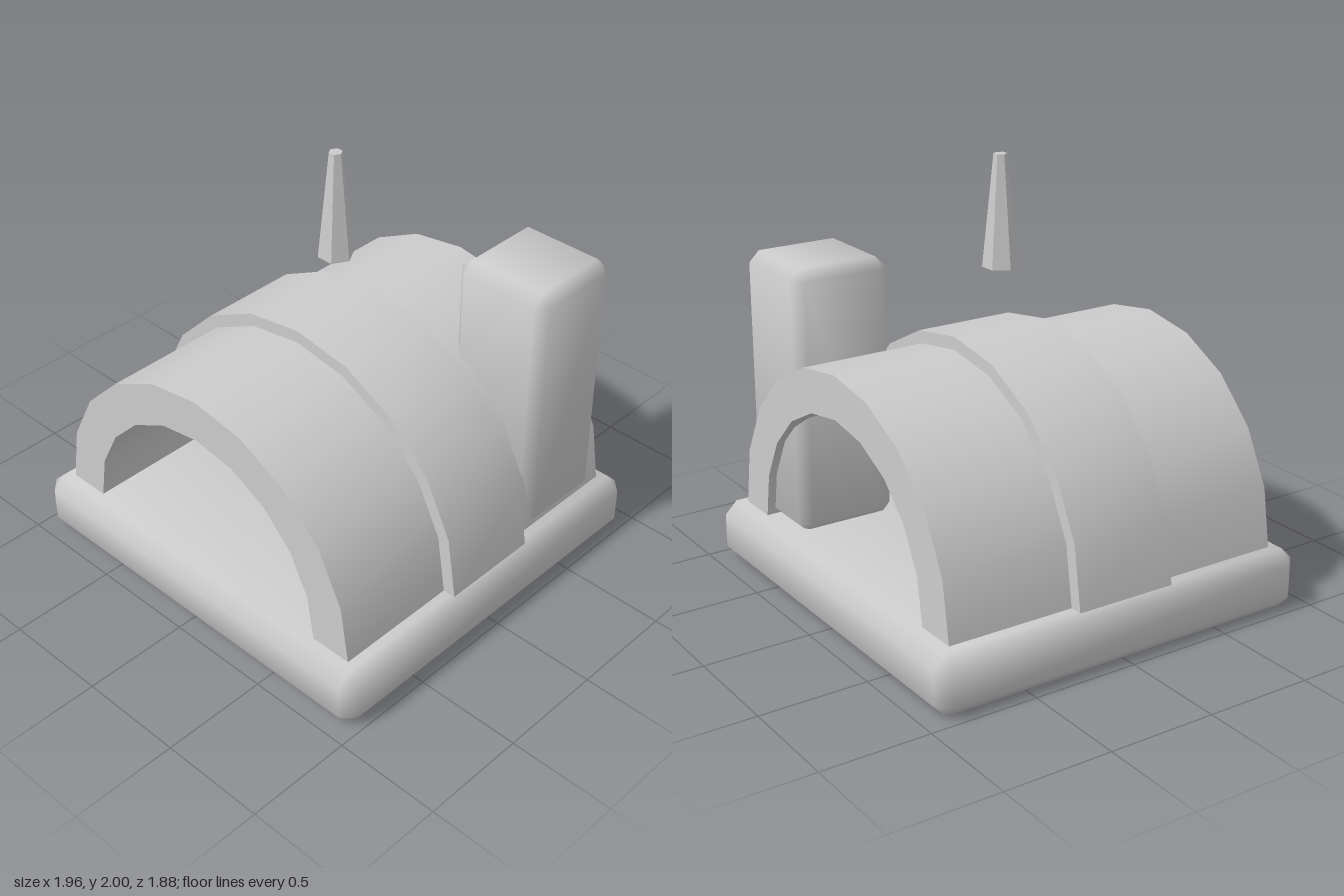
import * as THREE from 'three';
import { mergeVertices, toCreasedNormals } from 'three/addons/utils/BufferGeometryUtils.js';
import { ConvexGeometry } from 'three/addons/geometries/ConvexGeometry.js';

const clay = new THREE.MeshStandardMaterial({ color: 0xcccccc });
clay.name = 'clay grey';

const FLOOR = 0.28; // top of the base slab

function addPart(group, name, geometry, x = 0, y = 0, z = 0) {
  const mesh = new THREE.Mesh(geometry, clay);
  mesh.name = name;
  mesh.position.set(x, y, z);
  group.add(mesh);
}

// Box with a single chamfer on every edge and soft, slightly bulging normals
function softBox(w, h, d, bevel) {
  const half = [w / 2, h / 2, d / 2];
  const points = [];
  for (const sx of [-1, 1]) for (const sy of [-1, 1]) for (const sz of [-1, 1]) {
    for (let axis = 0; axis < 3; axis++) {
      const p = half.map((s, i) => (i === axis ? s : s - bevel));
      points.push(new THREE.Vector3(sx * p[0], sy * p[1], sz * p[2]));
    }
  }
  let geometry = new ConvexGeometry(points);
  geometry.deleteAttribute('normal');
  geometry = mergeVertices(geometry);
  geometry.computeVertexNormals();
  const pos = geometry.attributes.position;
  const v = new THREE.Vector3();
  for (let i = 0; i < pos.count; i++) {
    v.fromBufferAttribute(pos, i);
    const n = v.toArray().map((c, k) => Math.sign(c) * (Math.abs(c) > half[k] - bevel / 2 ? 1 : 0.35));
    v.fromArray(n).normalize();
    geometry.attributes.normal.setXYZ(i, v.x, v.y, v.z);
  }
  return geometry;
}

// Half ring of ten straight segments, extruded along z
function archGeometry(outer, inner, depth) {
  const steps = 10;
  const points = [];
  const arc = (radius, i) => {
    const a = (i / steps) * Math.PI;
    points.push(new THREE.Vector2(radius * Math.cos(a), radius * Math.sin(a)));
  };
  for (let i = 0; i <= steps; i++) arc(outer, i);
  for (let i = steps; i >= 0; i--) arc(inner, i);
  const geometry = new THREE.ExtrudeGeometry(new THREE.Shape(points), { depth, bevelEnabled: false });
  geometry.translate(0, 0, -depth / 2);
  return toCreasedNormals(geometry, Math.PI / 6);
}

export function createModel() {
  const model = new THREE.Group();
  model.name = 'vaultedHut';

  // Slab the hut stands on
  addPart(model, 'base', softBox(1.96, FLOOR, 1.88, 0.06), 0, FLOOR / 2, 0);

  // Open barrel vault with a raised band round its middle
  addPart(model, 'vault', archGeometry(0.88, 0.68, 1.68), 0, FLOOR, 0);
  addPart(model, 'vaultBand', archGeometry(0.94, 0.86, 0.48), 0, FLOOR, 0);

  // Chimney at the back corner, sunk a little into the slab
  addPart(model, 'chimney', softBox(0.48, 1.24, 0.48, 0.05), 0.64, 0.88, -0.56);

  // Six-sided tapered spike floating above the roof
  let spike = new THREE.CylinderGeometry(0.03, 0.08, 0.5, 6);
  spike.rotateY(Math.PI / 6);
  spike = spike.toNonIndexed();
  spike.computeVertexNormals();
  addPart(model, 'spike', spike, 0, 1.75, 0);

  return model;
}
